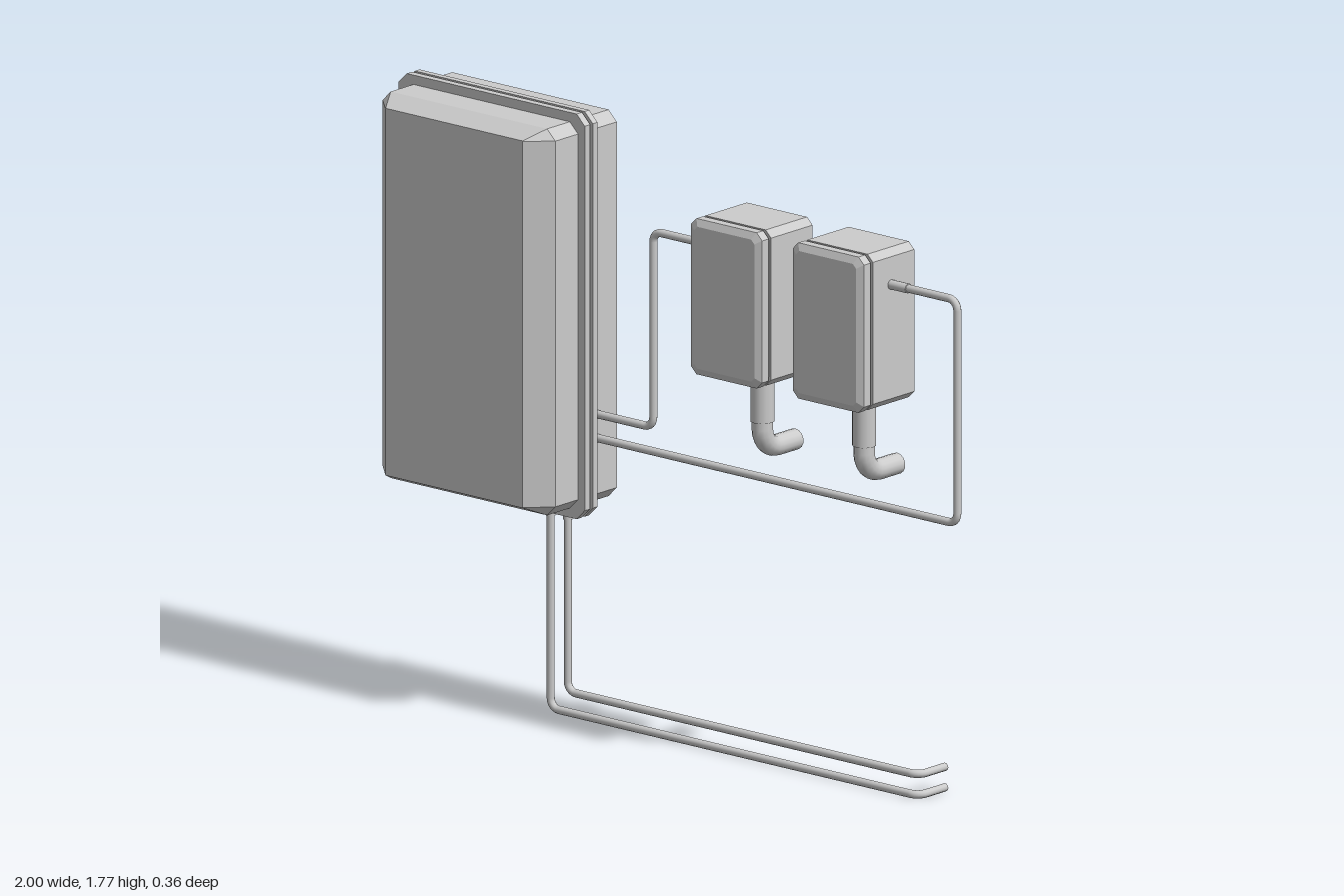
import * as THREE from 'three';

const metal = new THREE.MeshStandardMaterial({ color: 0xcccccc, side: THREE.DoubleSide });
const flat = new THREE.MeshStandardMaterial({ color: 0xcccccc, side: THREE.DoubleSide, flatShading: true });
const PIPE_Z = -0.062, PIPE_R = 0.0115;

function add(parent, name, geometry, material = flat) {
  const mesh = new THREE.Mesh(geometry, material);
  mesh.name = name;
  parent.add(mesh);
  return mesh;
}

// rectangle with cut corners, counterclockwise
function outline(w, h, c) {
  return [[w, c - h], [w, h - c], [w - c, h], [c - w, h], [-w, h - c], [-w, c - h], [c - w, -h], [w - c, -h]];
}

// shell lofted through rings [z, halfWidth, halfHeight, cornerCut], open behind, closed in front
function loftShell(rings) {
  const pos = [], index = [];
  for (const [z, w, h, c] of rings) for (const [x, y] of outline(w, h, c)) pos.push(x, y, z);
  for (let r = 0; r < rings.length - 1; r++) {
    for (let i = 0; i < 8; i++) {
      const a = r * 8 + i, b = r * 8 + (i + 1) % 8;
      index.push(a, b, b + 8, a, b + 8, a + 8);
    }
  }
  const last = (rings.length - 1) * 8;
  for (let i = 1; i < 7; i++) index.push(last, last + i, last + i + 1);
  const g = new THREE.BufferGeometry();
  g.setAttribute('position', new THREE.Float32BufferAttribute(pos, 3));
  g.setIndex(index);
  const out = g.toNonIndexed();
  out.computeVertexNormals();
  return out;
}

// flat frame between two cut-corner rectangles
function frame(w, h, c, iw, ih, ic, z, depth) {
  const points = (a) => a.map(([x, y]) => new THREE.Vector2(x, y));
  const shape = new THREE.Shape(points(outline(w, h, c)));
  shape.holes.push(new THREE.Path(points(outline(iw, ih, ic))));
  return new THREE.ExtrudeGeometry(shape, { depth, bevelEnabled: false }).translate(0, 0, z);
}

// path of straight runs joined by rounded bends
class BentPath extends THREE.Curve {
  constructor(corners, bend, steps = 6) {
    super();
    const v = corners.map((p) => new THREE.Vector3(...p));
    this.points = [v[0]];
    this.tangents = [v[1].clone().sub(v[0]).normalize()];
    for (let i = 1; i < v.length - 1; i++) {
      const into = v[i].clone().sub(v[i - 1]).normalize();
      const away = v[i + 1].clone().sub(v[i]).normalize();
      for (let s = 0; s <= steps; s++) {
        const a = (s / steps) * Math.PI / 2;
        this.points.push(v[i].clone()
          .addScaledVector(into, bend * (Math.sin(a) - 1))
          .addScaledVector(away, bend * (1 - Math.cos(a))));
        this.tangents.push(into.clone().multiplyScalar(Math.cos(a)).addScaledVector(away, Math.sin(a)));
      }
    }
    this.points.push(v[v.length - 1]);
    this.tangents.push(v[v.length - 1].clone().sub(v[v.length - 2]).normalize());
  }
  at(list, u) { return list[Math.round(u * (list.length - 1))]; }
  getPoint(u, target = new THREE.Vector3()) { return target.copy(this.at(this.points, u)); }
  getPointAt(u, target) { return this.getPoint(u, target); }
  getTangentAt(u, target = new THREE.Vector3()) { return target.copy(this.at(this.tangents, u)); }
}

function pipe(parent, name, corners, radius = PIPE_R, bend = 0.03, sides = 10) {
  const path = new BentPath(corners, bend);
  return add(parent, name, new THREE.TubeGeometry(path, path.points.length - 1, radius, sides), metal);
}

// short sleeve along x or y
function sleeve(parent, name, axis, x, y, z, length, radius) {
  const g = new THREE.CylinderGeometry(radius, radius, length, 12);
  if (axis === 'x') g.rotateZ(Math.PI / 2);
  add(parent, name, g, metal).position.set(x, y, z);
}

function cabinet() {
  const g = new THREE.Group();
  g.name = 'cabinet';
  add(g, 'cabinetShell', loftShell([
    [-0.145, 0.318, 0.558, 0.03],
    [0.115, 0.318, 0.558, 0.03],
    [0.178, 0.253, 0.53, 0.001],
  ]));
  for (const [name, z, depth] of [['frontFlange', -0.004, 0.023], ['rearFlange', -0.035, 0.02]]) {
    add(g, name, frame(0.343, 0.585, 0.03, 0.317, 0.557, 0.03, z, depth));
  }
  g.position.set(-0.657, 1.191, 0);
  return g;
}

function junctionBox(x) {
  const g = new THREE.Group();
  g.name = 'junctionBox';
  const w = 0.131, h = 0.225, c = 0.02;
  // body, seam groove and bevelled lid
  add(g, 'boxShell', loftShell([
    [-0.16, w, h, c], [0.015, w, h, c],
    [0.015, w - 0.008, h - 0.008, c], [0.025, w - 0.008, h - 0.008, c],
    [0.025, w, h, c], [0.053, w, h, c],
    [0.063, w - 0.02, h - 0.02, c * 0.6],
  ]));
  add(g, 'innerLip', frame(w - 0.008, h - 0.008, c, w - 0.035, h - 0.035, c, 0.006, 0.01));
  // drain below the box, turning to the rear
  sleeve(g, 'drainCollar', 'y', 0.049, -0.285, -0.042, 0.13, 0.034);
  pipe(g, 'drainElbow', [[0.049, -0.23, -0.042], [0.049, -0.432, -0.042], [0.049, -0.432, -0.182]], 0.03, 0.06, 14);
  g.position.set(x, 1.345, 0);
  return g;
}

export function createModel() {
  const model = new THREE.Group();
  model.name = 'cabinetWithPipework';
  model.add(cabinet(), junctionBox(0.238), junctionBox(0.613));

  // pipes from the cabinet to the two boxes
  const z = PIPE_Z;
  pipe(model, 'upperPipe', [[-0.4, 0.893, z], [-0.132, 0.893, z], [-0.132, 1.46, z], [0.13, 1.46, z]]);
  pipe(model, 'lowerPipe', [[-0.4, 0.824, z], [0.988, 0.824, z], [0.988, 1.47, z], [0.72, 1.47, z]]);
  sleeve(model, 'boxFitting', 'x', 0.08, 1.46, z, 0.06, 0.014);
  sleeve(model, 'boxFitting', 'x', 0.775, 1.47, z, 0.065, 0.014);

  // supply pipes running down, along the floor and to the rear
  for (const [x, y] of [[-0.51, 0.0125], [-0.447, 0.072]]) {
    pipe(model, 'supplyPipe', [[x, 0.7, z], [x, y, z], [0.845, y, z], [0.845, y, -0.175]]);
    sleeve(model, 'supplyFitting', 'y', x, 0.605, z, 0.07, 0.014);
  }
  return model;
}
